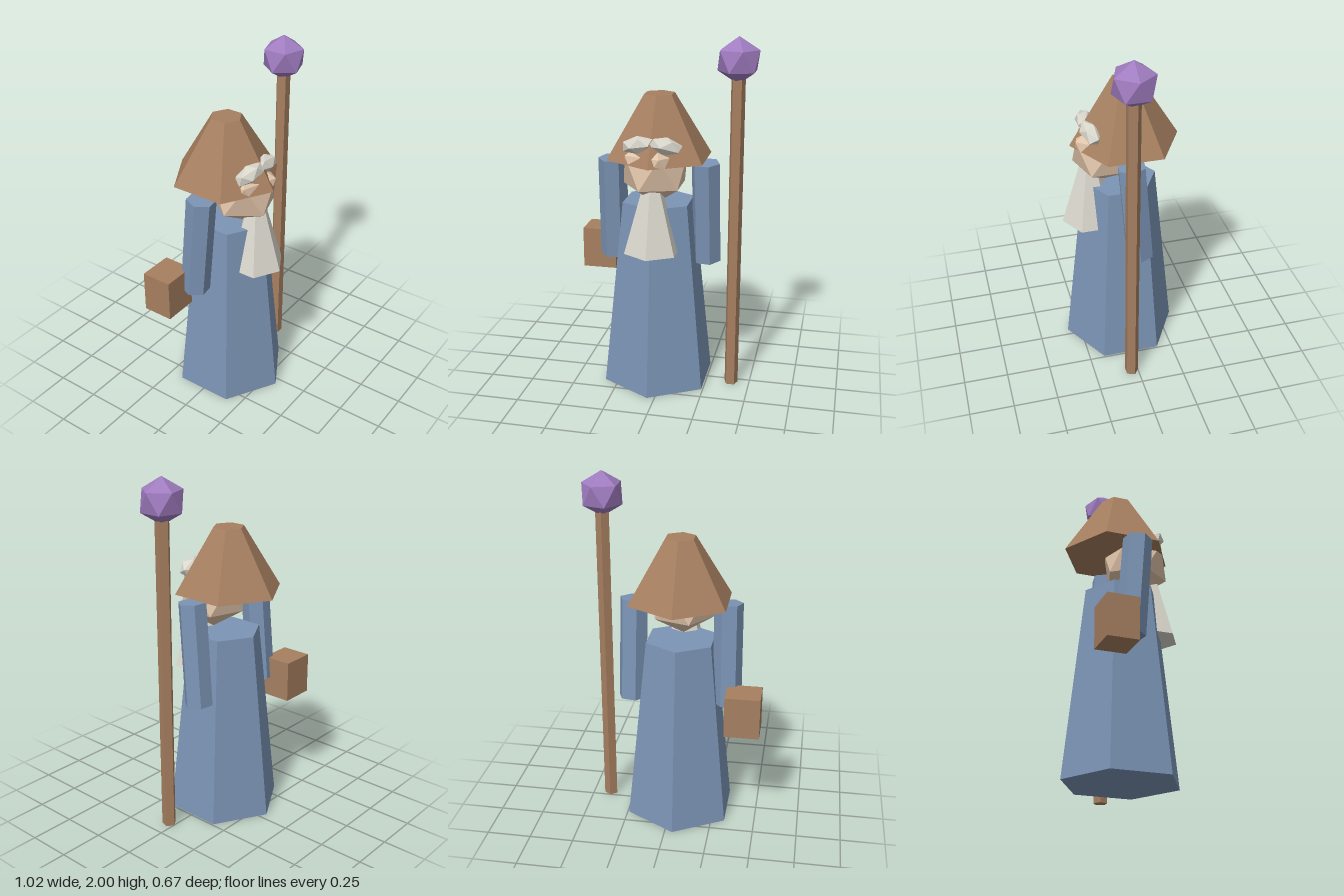
import * as THREE from 'three';

const flat = (name, color) => {
  const m = new THREE.MeshStandardMaterial({ color, flatShading: true });
  m.name = name;
  return m;
};

// Icosahedron standing on a corner, with an upper-ring corner toward +x
const crystal = (r) => new THREE.IcosahedronGeometry(r, 0).rotateZ(-Math.atan(2 / (1 + Math.sqrt(5))));

// Straight or tapered prism between two heights
function prism(rTop, rBottom, y0, y1, sides) {
  return new THREE.CylinderGeometry(rTop, rBottom, y1 - y0, sides).translate(0, (y0 + y1) / 2, 0);
}

export function createModel() {
  const cloth = flat('blue cloth', 0x7b94b5);
  const brown = flat('brown', 0xa67f60);
  const skin = flat('skin', 0xdfc3a8);
  const hair = flat('grey hair', 0xd9d6cc);
  const purple = flat('purple crystal', 0xa07cc0);

  const model = new THREE.Group();
  model.name = 'robedFigure';
  const add = (parent, name, geometry, material, x = 0, y = 0, z = 0) => {
    const mesh = new THREE.Mesh(geometry, material);
    mesh.name = name;
    mesh.position.set(x, y, z);
    parent.add(mesh);
    return mesh;
  };

  // Body, slightly off centre because of the staff
  const body = new THREE.Group();
  body.name = 'body';
  body.position.x = -0.043;
  model.add(body);

  add(body, 'robe', prism(0.21, 0.328, 0, 1.08, 6), cloth);
  add(body, 'head', crystal(0.2), skin, 0, 1.28, 0.083);
  add(body, 'hat', prism(0.088, 0.307, 1.32, 1.675, 6), brown, 0, 0, -0.029);
  add(body, 'beard', prism(0.035, 0.162, 0.83, 1.26, 6), hair, 0, 0, 0.169);

  // Mirrored arms and brows
  for (const [side, s] of [['right', -1], ['left', 1]]) {
    const arm = new THREE.CylinderGeometry(0.081, 0.081, 0.585, 6).rotateY(-s * 0.68);
    add(body, side + 'Arm', arm, cloth, s * 0.268, 1.013, -0.025).rotation.set(0.083, 0, s * 0.013);

    const brow = crystal(1).scale(0.1, 0.05, 0.056);
    add(body, side + 'Brow', brow, hair, s * 0.076, 1.428, 0.175).rotation.set(-0.35, s * 0.25, -s * 0.14);
  }

  // Staff with crystal
  const staff = new THREE.Group();
  staff.name = 'staff';
  staff.position.set(0.395, 0, 0.038);
  model.add(staff);
  add(staff, 'staffPole', prism(0.04, 0.04, 0, 1.78, 5).rotateY(Math.PI), brown);
  add(staff, 'staffCrystal', crystal(0.125), purple, 0, 1.875, 0);

  // Box carried at the right side
  add(model, 'box', new THREE.BoxGeometry(0.196, 0.236, 0.174), brown, -0.417, 0.728, -0.163);

  return model;
}
